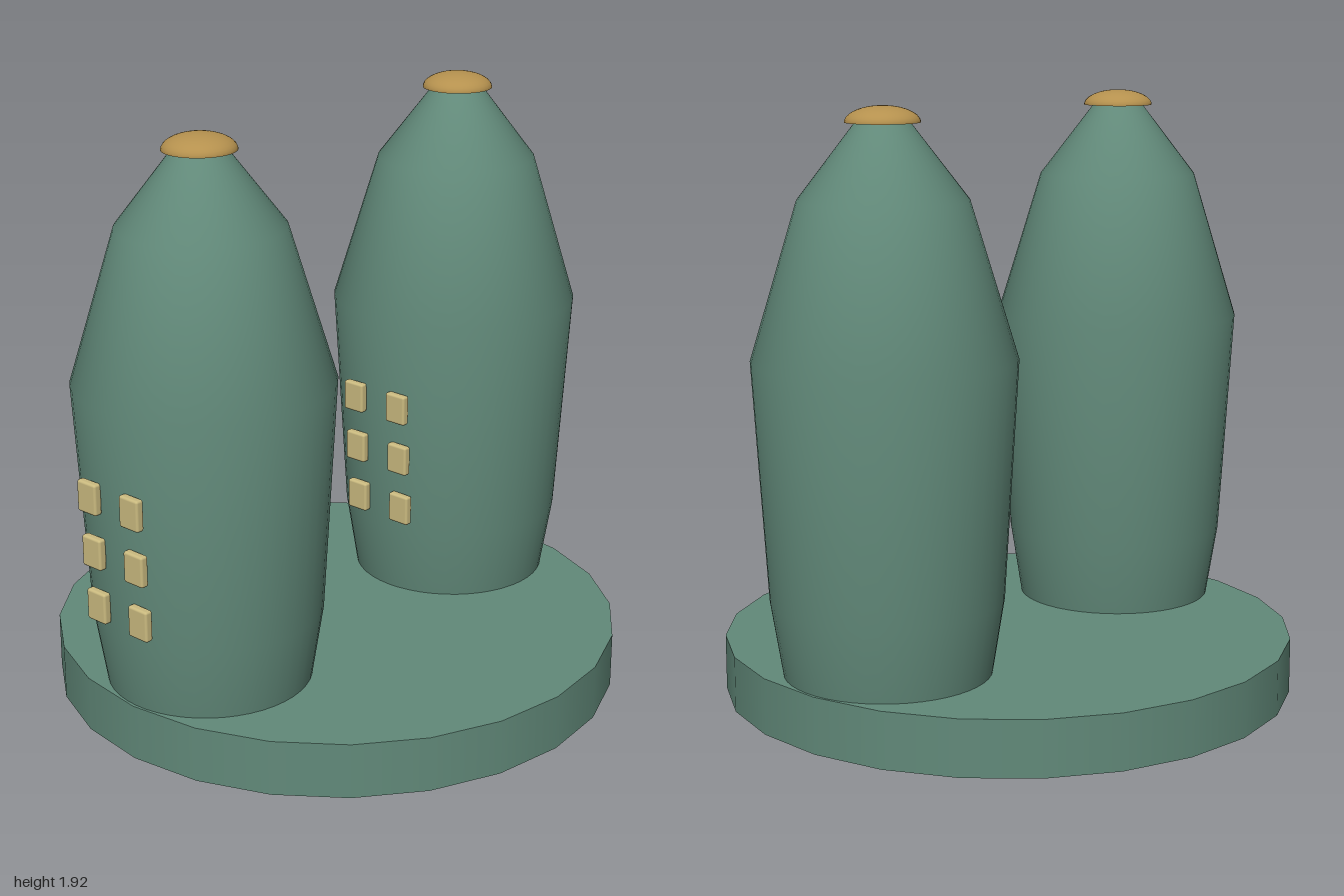
import * as THREE from 'three';
import { RoundedBoxGeometry } from 'three/addons/geometries/RoundedBoxGeometry.js';

const green = new THREE.MeshStandardMaterial({ color: 0x628a7a });
green.name = 'sage green';
const brass = new THREE.MeshStandardMaterial({ color: 0xb5914e });
brass.name = 'brass';
const cream = new THREE.MeshStandardMaterial({ color: 0xcbbb80 });
cream.name = 'window cream';

// Tower outline as [radius, height], from the foot up
const PROFILE = [[0.322, 0.17], [0.361, 0.415], [0.405, 1.158], [0.259, 1.637], [0.08, 1.87]];

function addMesh(parent, name, geometry, material, x = 0, y = 0, z = 0) {
  const mesh = new THREE.Mesh(geometry, material);
  mesh.name = name;
  mesh.position.set(x, y, z);
  parent.add(mesh);
  return mesh;
}

function createTower(name) {
  const tower = new THREE.Group();
  tower.name = name;

  // Swelling body
  const points = PROFILE.map(([r, y]) => new THREE.Vector2(r, y));
  addMesh(tower, 'towerBody', new THREE.LatheGeometry(points, 48), green);

  // Shallow domed cap with a closed underside
  const radius = 0.114, height = 0.05;
  const dome = new THREE.SphereGeometry(radius, 32, 10, 0, Math.PI * 2, 0, Math.PI / 2);
  dome.scale(1, height / radius, 1);
  addMesh(tower, 'capDome', dome, brass, 0, 1.866, 0);
  const underside = new THREE.CircleGeometry(radius, 32).rotateX(Math.PI / 2);
  addMesh(tower, 'capUnderside', underside, brass, 0, 1.866, 0);

  // Two columns of windows, following the lean of the front wall
  const pane = new RoundedBoxGeometry(0.08, 0.1, 0.028, 2, 0.008);
  const [[r0, y0], [r1, y1]] = PROFILE.slice(1, 3);
  for (const y of [0.506, 0.687, 0.868]) {
    const wall = r0 + (r1 - r0) * (y - y0) / (y1 - y0);
    for (const side of [-1, 1]) {
      addMesh(tower, 'window', pane, cream, side * 0.091, y, wall + 0.008);
    }
  }
  return tower;
}

export function createModel() {
  const model = new THREE.Group();
  model.name = 'twinTowers';

  // Round plinth
  addMesh(model, 'base', new THREE.CylinderGeometry(0.926, 0.926, 0.18, 24), green, 0, 0.09, 0);

  // One tower in front, one behind
  for (const [name, z] of [['frontTower', 0.592], ['backTower', -0.592]]) {
    const tower = createTower(name);
    tower.position.z = z;
    model.add(tower);
  }
  return model;
}
